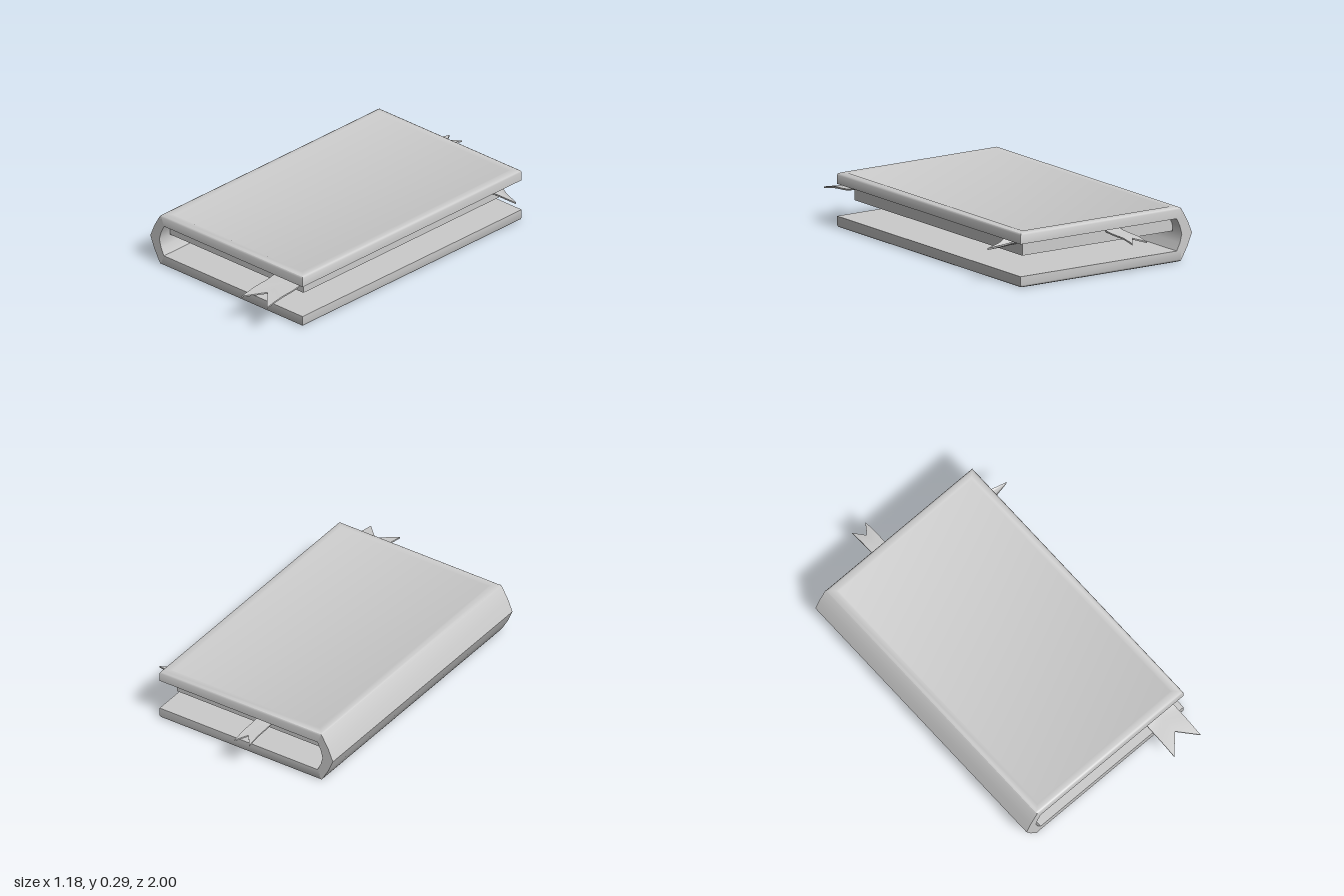
import * as THREE from 'three';
import { toCreasedNormals } from 'three/addons/utils/BufferGeometryUtils.js';

const material = new THREE.MeshStandardMaterial({ color: 0xcccccc });

function add(group, name, geometry, x = 0, y = 0, z = 0) {
  const mesh = new THREE.Mesh(geometry, material);
  mesh.name = name;
  mesh.position.set(x, y, z);
  group.add(mesh);
  return mesh;
}

// Board lofted from rectangular loops: [inset, height] from inner face to recessed panel
function boardGeometry(width, depth, loops) {
  const positions = [], index = [];
  for (const [inset, y] of loops) {
    const a = width / 2 - inset, b = depth / 2 - inset;
    positions.push(-a, y, b, a, y, b, a, y, -b, -a, y, -b);
  }
  index.push(0, 2, 1, 0, 3, 2);
  for (let i = 0; i < loops.length - 1; i++) {
    for (let j = 0; j < 4; j++) {
      const p = i * 4 + j, q = i * 4 + (j + 1) % 4;
      index.push(p, q, q + 4, p, q + 4, p + 4);
    }
  }
  const t = (loops.length - 1) * 4;
  index.push(t, t + 1, t + 2, t, t + 2, t + 3);
  const geometry = new THREE.BufferGeometry();
  geometry.setAttribute('position', new THREE.Float32BufferAttribute(positions, 3));
  geometry.setIndex(index);
  return toCreasedNormals(geometry, 0.7);
}

// Thin strip running along +z, reshaped by a rule; path holds [z, y] points
function stripGeometry(width, columns, path, reshape) {
  const geometry = new THREE.BoxGeometry(width, 0.008, 1, columns, 1, 12);
  const curve = new THREE.SplineCurve(path.map(([z, y]) => new THREE.Vector2(z, y)));
  const pos = geometry.attributes.position;
  for (let i = 0; i < pos.count; i++) {
    const side = pos.getX(i) / (width / 2);
    const along = THREE.MathUtils.clamp(pos.getZ(i) + 0.5, 0, 1);
    const [u, spread, sag] = reshape(side, along);
    const p = curve.getPoint(THREE.MathUtils.clamp(u, 0, 1));
    pos.setXYZ(i, pos.getX(i) * spread, p.y + pos.getY(i) - sag, p.x);
  }
  return toCreasedNormals(geometry, 0.7);
}

export function createModel() {
  const book = new THREE.Group();
  book.name = 'book';
  const cx = -0.0175, cz = -0.015, depth = 1.63;

  // Covers with rounded rim and slightly sunken panel
  const cover = boardGeometry(1.005, depth, [
    [0, 0], [0, 0.046], [0.004, 0.055], [0.014, 0.06], [0.038, 0.06], [0.048, 0.056],
  ]);
  add(book, 'topCover', cover, cx, 0.23, cz);
  add(book, 'bottomCover', cover, cx, 0.06, cz).rotation.z = Math.PI;

  // Bowed spine
  const outline = [
    [-0.515, 0.285], [-0.523, 0.276], [-0.56, 0.212], [-0.588, 0.145], [-0.56, 0.078], [-0.523, 0.014],
    [-0.515, 0.005], [-0.492, 0.06], [-0.512, 0.1], [-0.524, 0.145], [-0.512, 0.19], [-0.492, 0.23],
  ].map(([x, y]) => new THREE.Vector2(x, y));
  const spine = new THREE.ExtrudeGeometry(new THREE.Shape(outline), { depth, bevelEnabled: false });
  add(book, 'spine', toCreasedNormals(spine, 0.7), 0, 0, cz - depth / 2);

  // Page block hanging under the top cover
  add(book, 'pages', new THREE.BoxGeometry(0.94, 0.082, 1.49), -0.045, 0.19, cz);

  // Swallow-tailed ribbons: the middle column is pulled back to form the notch
  const tail = (notch) => (side, u) => [u * (1 - notch * (1 - Math.abs(side))), 1, 0];
  add(book, 'frontRibbon', stripGeometry(0.18, 2,
    [[0.69, 0.226], [0.74, 0.205], [0.8, 0.19], [0.9, 0.182], [1, 0.164]], tail(0.24)), 0.335);
  add(book, 'backRibbon', stripGeometry(0.09, 2,
    [[0.65, 0.226], [0.72, 0.212], [0.82, 0.2], [0.92, 0.196], [1, 0.182]], tail(0.2)), -0.14)
    .rotation.y = Math.PI;

  // Pointed, gutter-shaped tab on the fore edge
  const point = (side, u) => [u, Math.max(1 - u, 0.01), 0.03 * (1 - side * side) * (1 - u)];
  add(book, 'sideTab', stripGeometry(0.13, 6,
    [[0.405, 0.23], [0.45, 0.218], [0.5, 0.204], [0.588, 0.19]], point), 0, 0, -0.68)
    .rotation.y = Math.PI / 2;

  return book;
}
